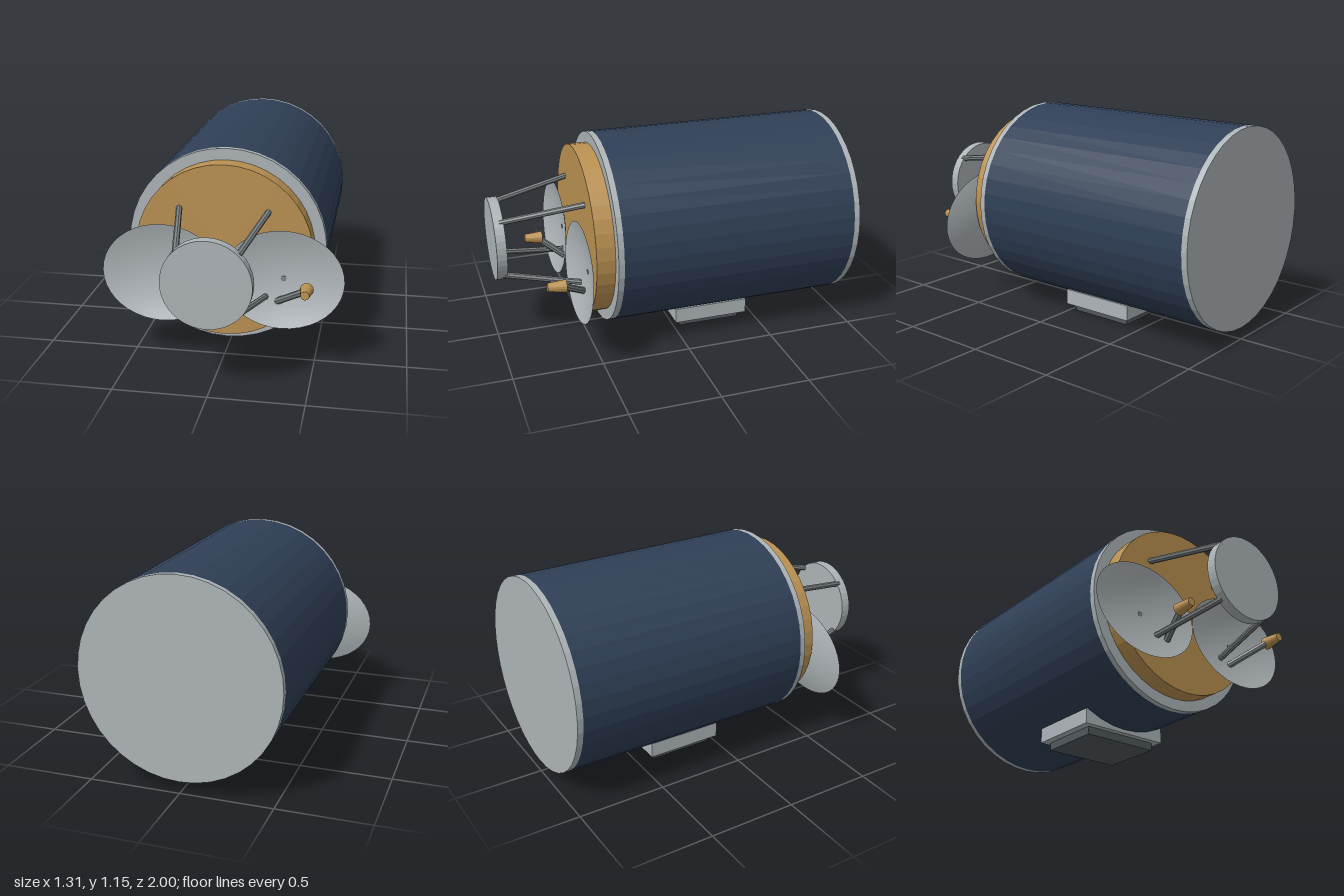
import * as THREE from 'three';

const CY = 0.608; // height of the main axis

function material(name, color, extra = {}) {
  const m = new THREE.MeshStandardMaterial({ color, ...extra });
  m.name = name;
  return m;
}

export function createModel() {
  const group = new THREE.Group();
  const navy = material('navy', 0x2f3f56);
  const grey = material('light grey', 0xadb4b7);
  const dishGrey = material('dish grey', 0xadb4b7, { side: THREE.DoubleSide });
  const gold = material('gold', 0xba9152);
  const steel = material('steel', 0x7d8385);
  const dark = material('dark grey', 0x50575b);

  const add = (name, geometry, mat, x = 0, y = 0, z = 0) => {
    const mesh = new THREE.Mesh(geometry, mat);
    mesh.name = name;
    mesh.position.set(x, y, z);
    group.add(mesh);
    return mesh;
  };

  // Cylinder along z between two depths
  const drum = (name, r, z0, z1, mat, sides = 40) =>
    add(name, new THREE.CylinderGeometry(r, r, z1 - z0, sides).rotateX(Math.PI / 2), mat, 0, CY, (z0 + z1) / 2);

  // Round rod between two points
  const rod = (name, a, b, r) => {
    const from = new THREE.Vector3(...a);
    const dir = new THREE.Vector3(...b).sub(from);
    const mesh = add(name, new THREE.CylinderGeometry(r, r, dir.length(), 8), steel);
    mesh.position.copy(from).addScaledVector(dir, 0.5);
    mesh.quaternion.setFromUnitVectors(new THREE.Vector3(0, 1, 0), dir.normalize());
  };

  // Main body with end rings, front plate and front disc
  drum('rearRing', 0.543, -1, -0.967, grey);
  drum('body', 0.543, -0.967, 0.38, navy);
  drum('frontRing', 0.543, 0.38, 0.412, grey);
  drum('frontPlate', 0.481, 0.412, 0.515, gold);
  drum('frontDisc', 0.232, 0.945, 1, grey);

  // Four struts holding the front disc
  for (const sx of [-1, 1]) {
    for (const sy of [-1, 1]) {
      rod('discStrut', [sx * 0.24, CY + sy * 0.235, 0.505], [sx * 0.155, CY + sy * 0.155, 0.965], 0.017);
    }
  }

  // Shallow oval dishes, tipped slightly upward
  const profile = [];
  for (let i = 0; i <= 8; i++) profile.push(new THREE.Vector2(i / 8, 0.05 * (i / 8) ** 2));
  const dishGeometry = new THREE.LatheGeometry(profile, 40).rotateX(Math.PI / 2).scale(0.327, 0.27, 1);
  for (const side of [-1, 1]) {
    add('dish', dishGeometry, dishGrey, side * 0.327, 0.488, 0.53).rotation.x = -0.075;
    rod('dishMount', [side * 0.327, 0.483, 0.5], [side * 0.327, 0.483, 0.533], 0.016);
  }

  // Feed horns on angled arms
  const feeds = [
    { base: [0.265, 0.33, 0.51], x: 0.465 },
    { base: [-0.16, 0.33, 0.51], x: -0.193 },
  ];
  for (const { base, x } of feeds) {
    rod('feedArm', base, [x, 0.495, 0.71], 0.019);
    const horn = new THREE.CylinderGeometry(0.023, 0.036, 0.1, 16).rotateX(Math.PI / 2);
    add('feedHorn', horn, gold, x, 0.494, 0.732).rotation.x = -0.07;
  }

  // Mounting block and foot under the body
  add('mountBlock', new THREE.BoxGeometry(0.542, 0.087, 0.436), grey, 0, 0.0885, -0.218);
  add('mountFoot', new THREE.BoxGeometry(0.454, 0.045, 0.366), dark, 0, 0.0225, -0.218);

  // Crisp facets on the drums
  for (const m of [navy, grey, gold, steel]) m.flatShading = true;
  return group;
}
